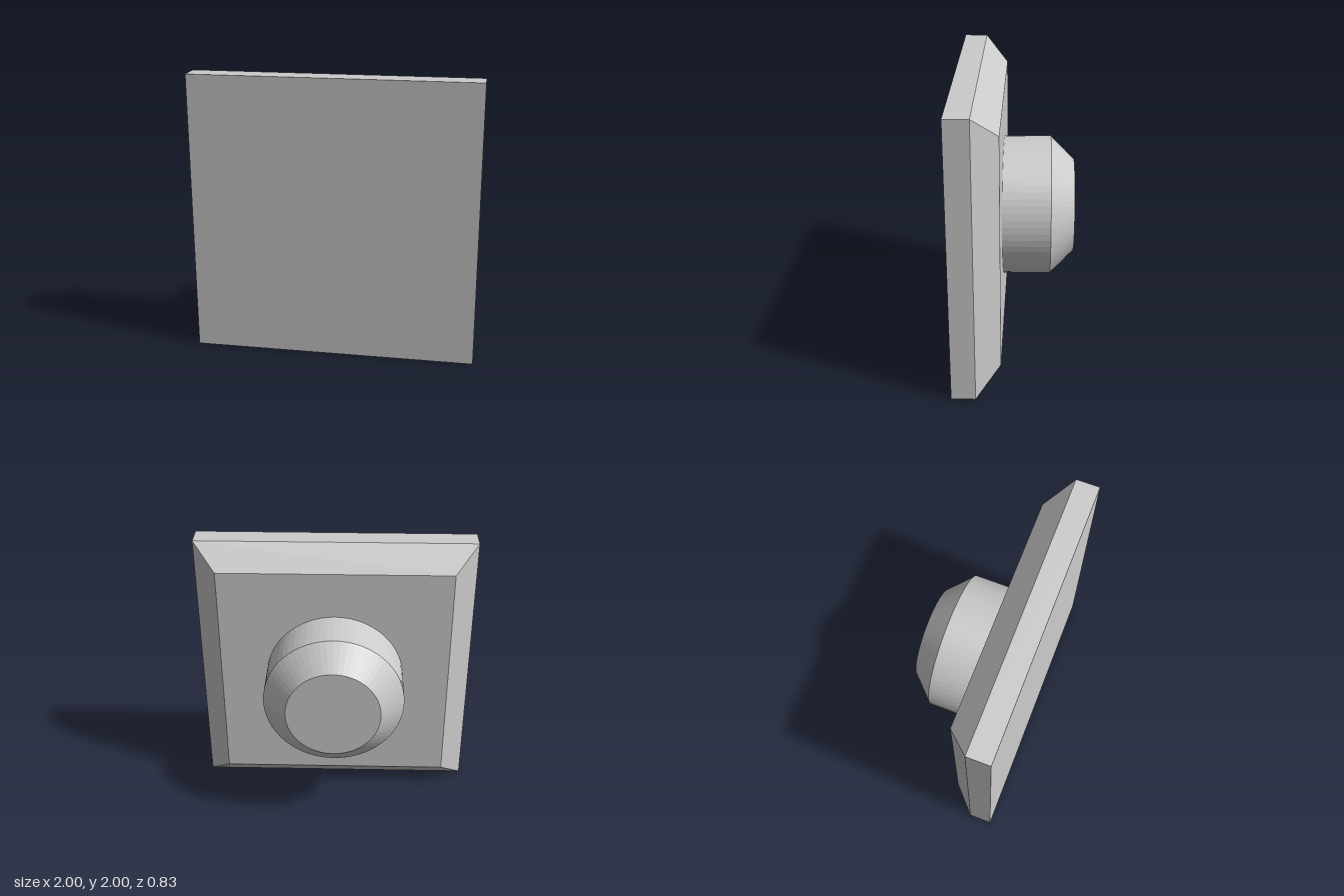
import * as THREE from 'three';

const material = new THREE.MeshStandardMaterial({ color: 0xcccccc, flatShading: true });

// Turns a [radius, z] profile, listed front to back, around the z axis.
function turned(name, profile, sides, start = 0) {
  const points = profile.map(([r, z]) => new THREE.Vector2(r, -z));
  const geometry = new THREE.LatheGeometry(points, sides, start).rotateX(-Math.PI / 2).toNonIndexed();
  geometry.computeVertexNormals();
  const mesh = new THREE.Mesh(geometry, material);
  mesh.name = name;
  mesh.position.y = 1;
  return mesh;
}

export function createModel() {
  const group = new THREE.Group();
  group.name = 'squareFacedStud';

  const front = 5 / 12, shoulder = 0.25, plateBack = 1 / 12;

  // Square plate: a four-sided turning, with its back edges chamfered
  const corner = Math.SQRT2;
  group.add(turned('plate', [
    [0, front], [corner, front], [corner, shoulder],
    [corner * 5 / 6, plateBack], [0, plateBack],
  ], 4, Math.PI / 4));

  // Round boss on the back, with a chamfered end
  group.add(turned('boss', [
    [0.5, plateBack], [0.5, -shoulder], [1 / 3, -front], [0, -front],
  ], 64));

  return group;
}
